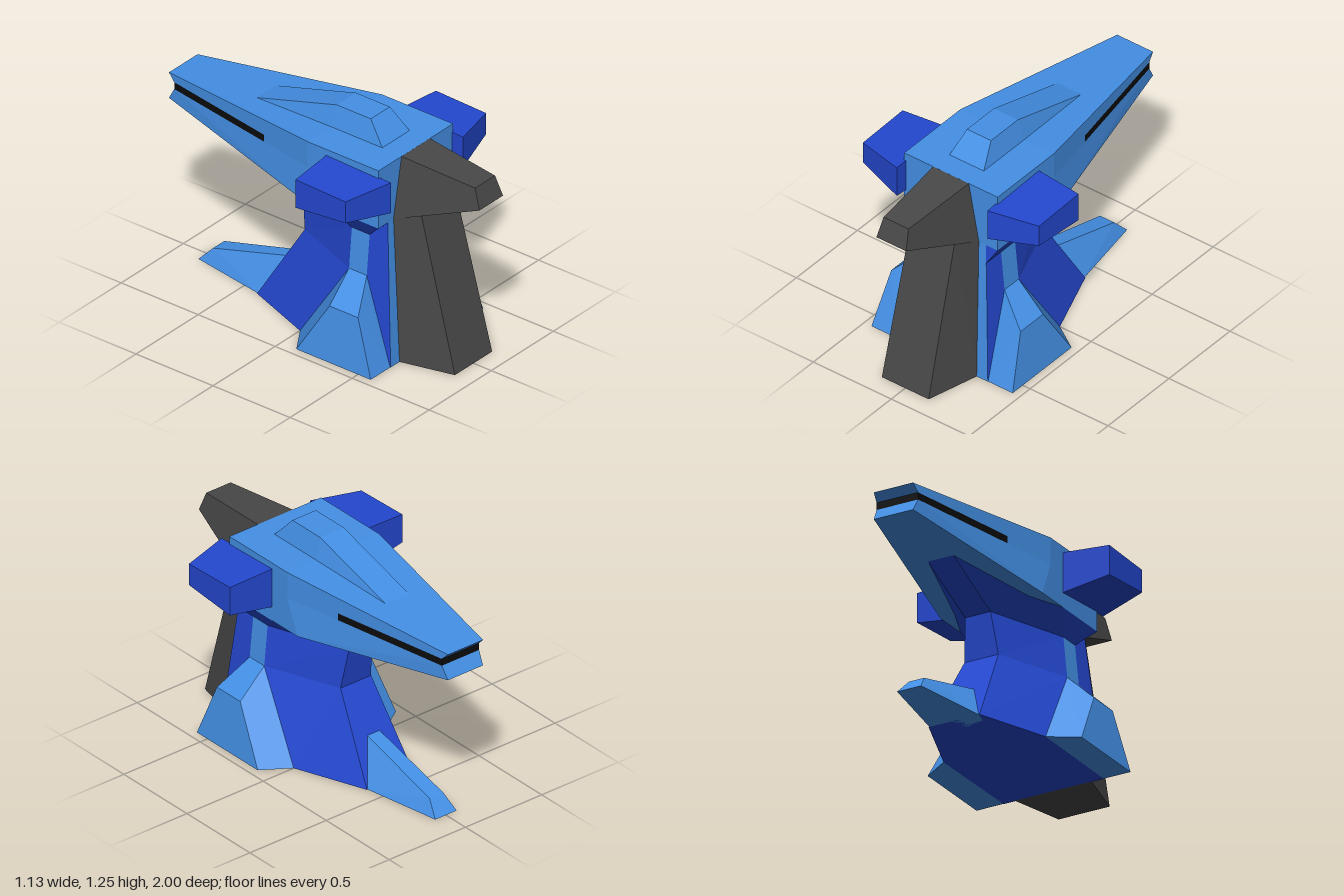
import * as THREE from 'three';
import { ConvexGeometry } from 'three/addons/geometries/ConvexGeometry.js';

const paint = (color) => new THREE.MeshStandardMaterial({ color, flatShading: true });
const light = paint(0x4490e6);
const deep = paint(0x2448d0);
const grey = paint(0x484848);
const black = paint(0x0c0c0c);

const flip = ([x, y, z]) => [-x, y, z];

export function createModel() {
  const model = new THREE.Group();

  const add = (name, geometry, material) => {
    const mesh = new THREE.Mesh(geometry, material);
    mesh.name = name;
    model.add(mesh);
  };
  // Convex solid through the given corners
  const solid = (name, material, points) =>
    add(name, new ConvexGeometry(points.map((p) => new THREE.Vector3(...p))), material);
  // Solid straddling the centre line, from its left-hand corners
  const centred = (name, material, points) => solid(name, material, [...points, ...points.map(flip)]);
  // Matching solids on both sides
  const pair = (name, material, points) => {
    solid(name + 'Left', material, points);
    solid(name + 'Right', material, points.map(flip));
  };
  // Flat-shaded surface from four-cornered faces
  const panels = (name, material, quads) => {
    const verts = quads.flatMap(([a, b, c, d]) => [a, b, c, a, c, d]).flat();
    const geometry = new THREE.BufferGeometry();
    geometry.setAttribute('position', new THREE.Float32BufferAttribute(verts, 3));
    geometry.computeVertexNormals();
    add(name, geometry, material);
  };

  // Head: tapering wedge split by a mouth slot
  const width = (z) => (z >= 0.05 ? 0.3 : 0.3 - ((0.05 - z) * 0.185) / 1.05);
  const edge = (y, ...zs) => zs.map((z) => [width(z), y, z]);
  centred('upperHead', light, [
    ...edge(1.13, 0.51, 0.05), ...edge(1.06, -1), ...edge(1.02, 0.51, 0.05, -0.96),
  ]);
  centred('lowerHead', light, [
    ...edge(0.98, 0.51, 0.05, -0.96), ...edge(0.91, -1),
    [0.3, 0.79, 0.51], [0.3, 0.79, -0.03],
  ]);
  centred('middleHead', light, [...edge(1.02, 0.51, 0.05, -0.28), ...edge(0.98, 0.51, 0.05, -0.28)]);
  centred('mouthSlot', black, [...edge(1.02, -0.28, -0.96), ...edge(0.98, -0.28, -0.96)]);

  // Raised crest on top of the head
  centred('crest', light, [
    [0.113, 1.12, 0.39], [0.113, 1.12, 0.05], [0.077, 1.247, 0.28], [0.077, 1.247, 0.06], [0.077, 1.09, -0.48],
  ]);

  // Side pods
  pair('sidePod', deep, [
    [0.29, 0.905, 0.583], [0.29, 1.083, 0.583], [0.29, 0.87, 0.17], [0.29, 1.096, 0.17],
    [0.565, 0.945, 0.51], [0.565, 1.07, 0.51], [0.565, 0.915, 0.185], [0.565, 1.08, 0.185],
  ]);

  // Front hood and the column below it
  centred('frontHood', grey, [
    [0.115, 1.13, 0.505], [0.18, 0.79, 0.505], [0.08, 1.095, 0.96], [0.095, 0.985, 1], [0.14, 0.85, 0.66],
  ]);
  centred('frontColumn', grey, [
    [0.18, 0.79, 0.505], [0.14, 0.85, 0.66], [0.225, 0, 0.58], [0.15, 0, 0.885],
  ]);

  // Neck: half-sections from the ground up, front edge to back edge
  const levels = [
    [[0.295, 0, 0.585], [0.297, 0, 0.57], [0.3, 0, 0], [0.15, 0, -0.4]],
    [[0.255, 0.455, 0.542], [0.258, 0.455, 0.4], [0.258, 0.455, 0.285], [0.1, 0.455, -0.13]],
    [[0.234, 0.685, 0.52], [0.235, 0.685, 0.4], [0.235, 0.685, 0.285], [0.075, 0.685, -0.165]],
    [[0.225, 0.79, 0.51], [0.3, 0.79, 0.51], [0.3, 0.79, 0.17], [0.075, 0.865, -0.56]],
  ].map((half) => [...half, ...half.map(flip).reverse()]);
  const deepFaces = [];
  const lightFaces = [];
  for (let j = 0; j < 3; j++) {
    for (let i = 0; i < 8; i++) {
      const k = (i + 1) % 8;
      const isLight = i === 7 || (j === 1 && (i === 1 || i === 5));
      (isLight ? lightFaces : deepFaces).push([levels[j][i], levels[j][k], levels[j + 1][k], levels[j + 1][i]]);
    }
  }
  const base = levels[0];
  deepFaces.push([base[7], base[5], base[2], base[0]], [base[5], base[4], base[3], base[2]]);
  panels('neck', deep, deepFaces);
  panels('neckTrim', light, lightFaces);

  // Flared side buttresses
  pair('buttress', light, [
    [0.295, 0, 0.583], [0.453, 0, 0.583], [0.453, 0, 0.1], [0.3, 0, 0],
    [0.415, 0.305, 0.47], [0.415, 0.305, 0.285], [0.258, 0.455, 0.4], [0.258, 0.455, 0.285],
  ]);

  // Rear spur along the ground
  centred('rearSpur', light, [
    [0.07, 0, -0.845], [0.145, 0, -0.4], [0.1, 0, -0.2], [0.045, 0.08, -0.77], [0.04, 0.22, -0.265],
  ]);

  return model;
}
